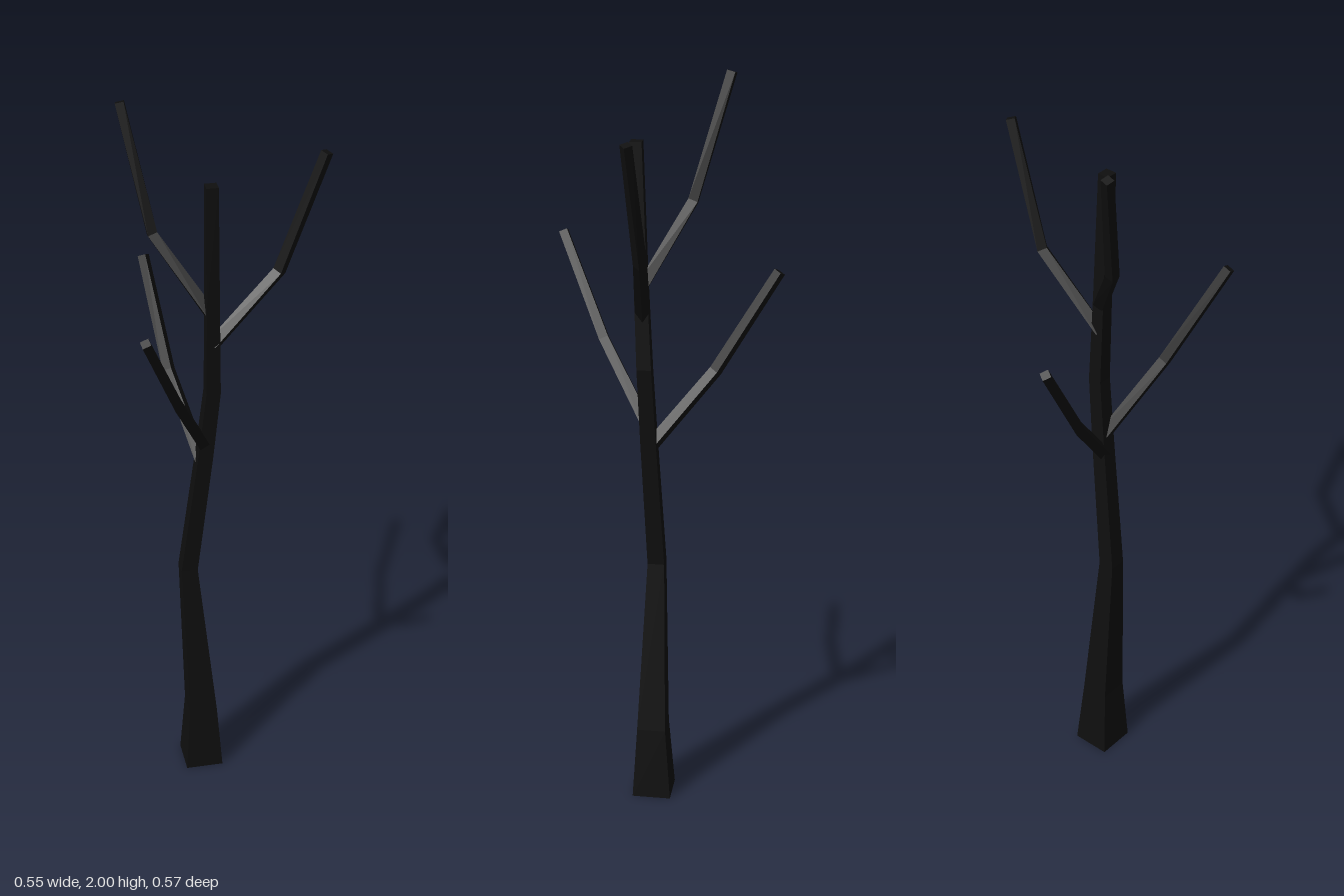
import * as THREE from 'three';

const V = (x, y, z) => new THREE.Vector3(x, y, z);
const UP = V(0, 1, 0);
const SIDES = 4;

// Sweeps a tapering four-sided section along rows of [x, y, z, radius]; closed at both ends.
function limb(name, rows, material, level = false, turn = 0) {
  const pts = rows.map(r => V(r[0], r[1], r[2]));
  const last = pts.length - 1;
  const position = [], index = [];
  rows.forEach((row, i) => {
    const t = level ? UP.clone()
      : pts[Math.min(i + 1, last)].clone().sub(pts[Math.max(i - 1, 0)]).normalize();
    const u = level ? V(1, 0, 0) : t.clone().cross(UP).normalize();
    const v = t.clone().cross(u);
    for (let j = 0; j < SIDES; j++) {
      const a = turn + (j / SIDES) * Math.PI * 2;
      const p = pts[i].clone()
        .addScaledVector(u, Math.cos(a) * row[3])
        .addScaledVector(v, Math.sin(a) * row[3]);
      position.push(p.x, p.y, p.z);
    }
  });
  for (let i = 0; i < last; i++) {
    for (let j = 0; j < SIDES; j++) {
      const a = i * SIDES + j, b = i * SIDES + (j + 1) % SIDES;
      index.push(a, b, b + SIDES, a, b + SIDES, a + SIDES);
    }
  }
  // End caps
  const top = last * SIDES;
  for (let j = 1; j < SIDES - 1; j++) {
    index.push(0, j + 1, j, top, top + j, top + j + 1);
  }
  const geometry = new THREE.BufferGeometry();
  geometry.setAttribute('position', new THREE.Float32BufferAttribute(position, 3));
  geometry.setIndex(index);
  const flat = geometry.toNonIndexed();
  flat.computeVertexNormals();
  const mesh = new THREE.Mesh(flat, material);
  mesh.name = name;
  return mesh;
}

export function createModel() {
  const tree = new THREE.Group();
  tree.name = 'bareTree';
  const bark = new THREE.MeshStandardMaterial({ color: 0x0f0f0f, flatShading: true });

  // Crooked trunk, flared at the foot
  tree.add(limb('trunk', [
    [-0.018, 0, -0.064, 0.074],
    [-0.018, 0.2, -0.06, 0.055],
    [-0.05, 0.68, -0.045, 0.032],
    [-0.006, 1.05, -0.052, 0.029],
    [0.015, 1.25, -0.055, 0.027],
    [0.018, 1.5, -0.044, 0.024],
    [0.02, 1.845, -0.03, 0.022],
  ], bark, true, THREE.MathUtils.degToRad(77)));

  // Each branch: root, elbow, tip
  const branches = {
    upperRightBranch: [[0.015, 1.475, -0.05], [-0.155, 1.665, -0.073], [-0.255, 1.99, -0.115]],
    upperLeftBranch: [[0.018, 1.39, -0.05], [0.157, 1.575, -0.16], [0.26, 1.9, -0.203]],
    frontBranch: [[-0.005, 1.08, -0.05], [-0.015, 1.29, 0.112], [-0.037, 1.55, 0.272]],
    backBranch: [[-0.008, 1.02, -0.05], [-0.148, 1.225, -0.16], [-0.263, 1.49, -0.275]],
  };
  const radii = [0.02, 0.018, 0.016];
  for (const [name, path] of Object.entries(branches)) {
    tree.add(limb(name, path.map((p, i) => [...p, radii[i]]), bark));
  }
  return tree;
}
